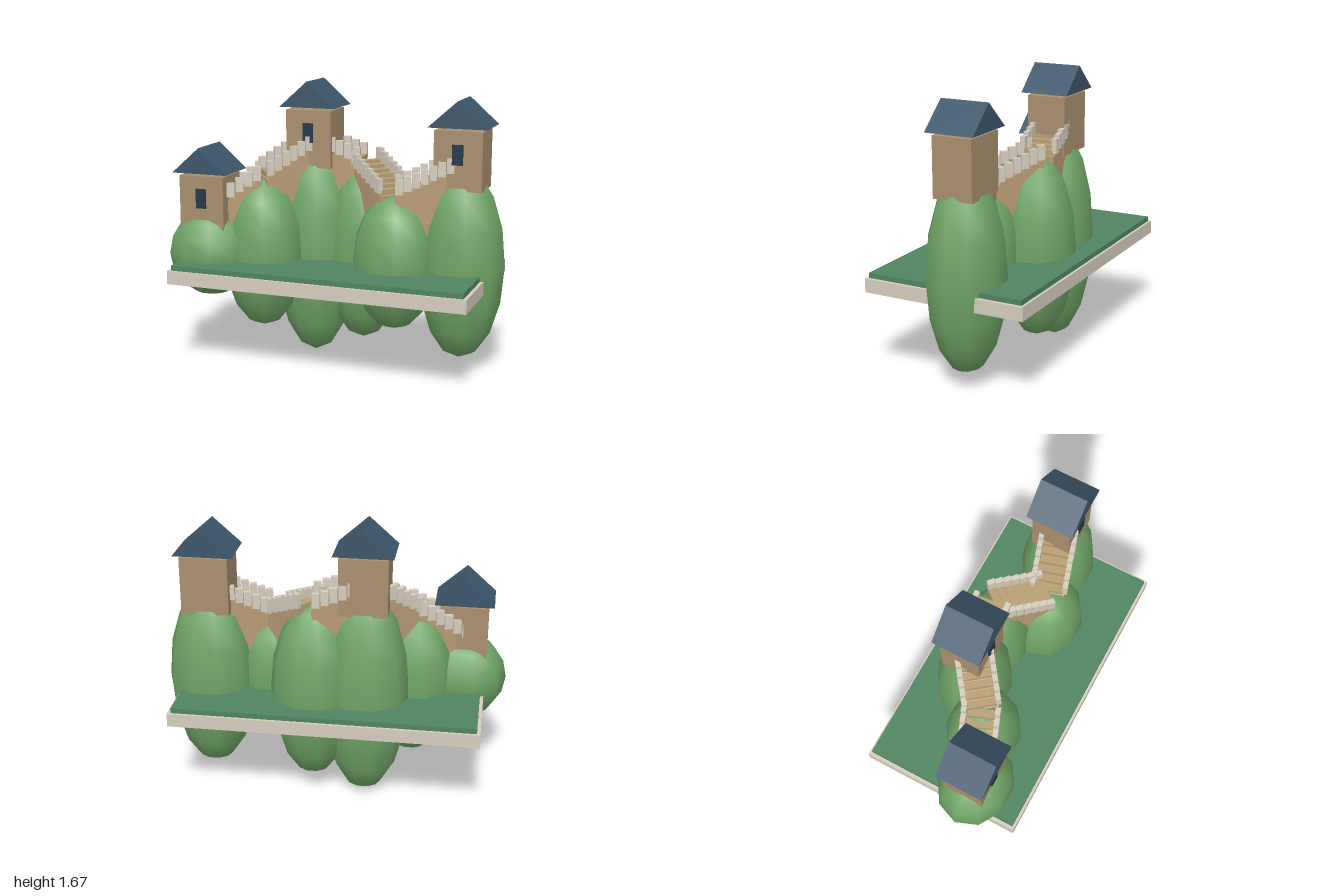
import * as THREE from 'three';

const mat = (color) => new THREE.MeshStandardMaterial({ color, roughness: 0.9 });

export function createModel() {
  const model = new THREE.Group();
  const stone = mat(0xd6cdbd), lawn = mat(0x4f8560), hill = mat(0x6fa465);
  const brick = mat(0xaa8f6e), slate = mat(0x3d566b), dark = mat(0x24384a);
  const earth = mat(0xb89b74), wood = mat(0xb89f72);

  const add = (parent, name, geometry, material, x = 0, y = 0, z = 0) => {
    const mesh = new THREE.Mesh(geometry, material);
    mesh.name = name;
    mesh.position.set(x, y, z);
    parent.add(mesh);
    return mesh;
  };

  // Display base with a thin lawn on top
  add(model, 'basePlate', new THREE.BoxGeometry(1.79, 0.08, 0.975), stone, 0.015, 0.55, 0);
  add(model, 'lawn', new THREE.BoxGeometry(1.75, 0.035, 0.945), lawn, 0.015, 0.603, 0);

  // Hills: x, z, half height; every second one carries a tower as marked
  const midY = 0.65;
  const hills = [
    { x: -0.745, z: 0.17, h: 0.265, tower: 1.125 },
    { x: -0.45, z: 0.06, h: 0.46 },
    { x: -0.19, z: -0.14, h: 0.65, tower: 1.5 },
    { x: 0.11, z: -0.17, h: 0.545 },
    { x: 0.37, z: 0.05, h: 0.4 },
    { x: 0.737, z: -0.06, h: 0.57, tower: 1.43 },
  ];

  // Gabled roof with its ridge running front to back
  const gable = new THREE.Shape([
    new THREE.Vector2(-0.172, 0), new THREE.Vector2(0.172, 0), new THREE.Vector2(0, 0.153),
  ]);
  const roofGeometry = new THREE.ExtrudeGeometry(gable, { depth: 0.288, bevelEnabled: false });
  roofGeometry.translate(0, 0, -0.144);

  for (const { x, z, h, tower } of hills) {
    const dome = add(model, 'hill', new THREE.SphereGeometry(1, 10, 8), hill, x, midY, z);
    dome.scale.set(tower ? 0.26 : 0.25, h, 0.22);
    if (!tower) continue;
    const group = new THREE.Group();
    group.name = 'tower';
    group.position.set(x, tower, z);
    add(group, 'towerBody', new THREE.BoxGeometry(0.28, 0.34, 0.236), brick, 0, -0.17, 0);
    add(group, 'roof', roofGeometry, slate, 0, 0.017, 0);
    add(group, 'door', new THREE.BoxGeometry(0.062, 0.115, 0.02), dark, 0, -0.133, 0.12);
    model.add(group);
  }

  // Stepped wall walks joining neighbouring hilltops
  for (let i = 0; i < hills.length - 1; i++) {
    const a = hills[i], b = hills[i + 1];
    const length = Math.hypot(b.x - a.x, b.z - a.z);
    const rise = b.h - a.h;
    const walk = new THREE.Group();
    walk.name = 'wallWalk';
    walk.position.set((a.x + b.x) / 2, midY + (a.h + b.h) / 2, (a.z + b.z) / 2);
    walk.rotation.y = -Math.atan2(b.z - a.z, b.x - a.x);
    model.add(walk);

    // Sloping wall: a box sheared along its length
    const wall = new THREE.BoxGeometry(length, 0.3, 0.19);
    const p = wall.attributes.position;
    for (let v = 0; v < p.count; v++) p.setY(v, p.getY(v) + (p.getX(v) / length) * rise);
    wall.computeVertexNormals();
    add(walk, 'wall', wall, earth, 0, -0.155, 0);

    // Plank steps with a parapet block at each end
    const count = Math.round(length / 0.05), pitch = length / count;
    for (let s = 0; s < count; s++) {
      const t = (s + 0.5) / count - 0.5;
      const x = t * length, y = t * rise;
      add(walk, 'step', new THREE.BoxGeometry(pitch * 0.92, 0.03, 0.17), wood, x, y + 0.005, 0);
      for (const side of [-1, 1]) {
        add(walk, 'parapetBlock', new THREE.BoxGeometry(pitch * 0.9, 0.085, 0.03), stone, x, y + 0.045, side * 0.095);
      }
    }
  }
  return model;
}
